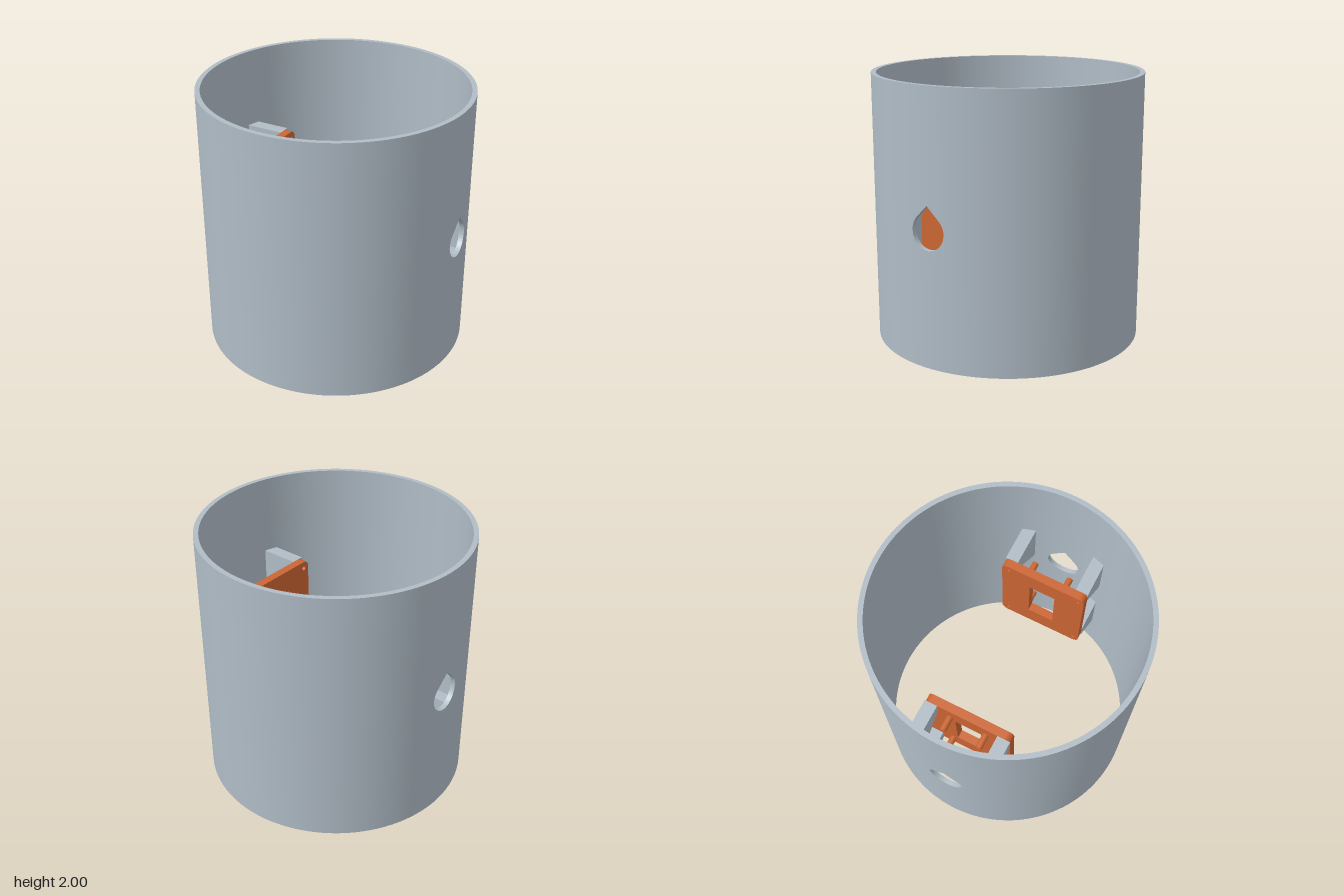
import * as THREE from 'three';

const R_OUT = 1, R_IN = 0.963, HEIGHT = 2;
const HOLE_R = 0.132, HOLE_Y = 1;
const PLATE_X = 0.565, PLATE_D = 0.065, BACK_X = PLATE_X + PLATE_D;

const steel = new THREE.MeshStandardMaterial({ name: 'greyBlue', color: 0xb0bcc6 });
const orange = new THREE.MeshStandardMaterial({ name: 'orange', color: 0xcc6633 });

function mesh(name, geometry, material) {
  const m = new THREE.Mesh(geometry, material);
  m.name = name;
  return m;
}

// Geometry from quads, each four corners counter-clockwise; optional radial normals
function quadGeometry(quads, radial = 0) {
  const pos = [];
  for (const [a, b, c, d] of quads) pos.push(...a, ...b, ...c, ...a, ...c, ...d);
  const g = new THREE.BufferGeometry();
  g.setAttribute('position', new THREE.Float32BufferAttribute(pos, 3));
  g.computeVertexNormals();
  if (radial) {
    const p = g.attributes.position, n = g.attributes.normal;
    for (let i = 0; i < p.count; i++) {
      const l = Math.hypot(p.getX(i), p.getZ(i)) * radial;
      n.setXYZ(i, p.getX(i) / l, 0, p.getZ(i) / l);
    }
  }
  return g;
}

// Teardrop: round below, 45 degree point above
const holeLow = z => HOLE_Y - Math.sqrt(Math.max(0, HOLE_R ** 2 - z * z));
const holeHigh = z => Math.abs(z) < HOLE_R * Math.SQRT1_2
  ? HOLE_Y + HOLE_R * Math.SQRT2 - Math.abs(z)
  : HOLE_Y + Math.sqrt(Math.max(0, HOLE_R ** 2 - z * z));

// Half of the tube (x > 0): vertical columns, split above and below the hole
function tubeHalf() {
  const side = 26, fine = 24, total = side * 2 + fine;
  const column = (i, r) => {
    const edge = Math.asin(HOLE_R / r);
    let a;
    if (i < side) a = -Math.PI / 2 + (Math.PI / 2 - edge) * i / side;
    else if (i > side + fine) a = edge + (Math.PI / 2 - edge) * (i - side - fine) / side;
    else a = Math.asin(-HOLE_R * Math.cos(Math.PI * (i - side) / fine) / r);
    const x = r * Math.cos(a), z = r * Math.sin(a);
    return { z, at: y => [x, y, z] };
  };
  const outer = [], inner = [], edges = [];
  for (let i = 0; i < total; i++) {
    const o0 = column(i, R_OUT), o1 = column(i + 1, R_OUT);
    const n0 = column(i, R_IN), n1 = column(i + 1, R_IN);
    const strip = (l0, l1, h0, h1) => {
      outer.push([o0.at(l0), o0.at(h0), o1.at(h1), o1.at(l1)]);
      inner.push([n0.at(l0), n1.at(l1), n1.at(h1), n0.at(h0)]);
    };
    // top and bottom rims
    edges.push([o0.at(HEIGHT), n0.at(HEIGHT), n1.at(HEIGHT), o1.at(HEIGHT)]);
    edges.push([o0.at(0), o1.at(0), n1.at(0), n0.at(0)]);
    if (i >= side && i < side + fine) {
      const l0 = holeLow(o0.z), l1 = holeLow(o1.z);
      const h0 = holeHigh(o0.z), h1 = holeHigh(o1.z);
      strip(0, 0, l0, l1);
      strip(h0, h1, HEIGHT, HEIGHT);
      // lining of the hole
      edges.push([o0.at(l0), n0.at(l0), n1.at(l1), o1.at(l1)]);
      edges.push([o0.at(h0), o1.at(h1), n1.at(h1), n0.at(h0)]);
    } else strip(0, 0, HEIGHT, HEIGHT);
  }
  const g = new THREE.Group();
  g.name = 'tubeHalf';
  g.add(mesh('outerWall', quadGeometry(outer, 1), steel),
    mesh('innerWall', quadGeometry(inner, -1), steel),
    mesh('rimsAndHoleLining', quadGeometry(edges), steel));
  return g;
}

// Rounded plate with a central window and four screw holes
function plate() {
  const w = 0.34, h = 0.39, r = 0.05;
  const s = new THREE.Shape();
  s.absarc(w - r, h - r, r, 0, Math.PI / 2);
  s.absarc(-w + r, h - r, r, Math.PI / 2, Math.PI);
  s.absarc(-w + r, -h + r, r, Math.PI, Math.PI * 1.5);
  s.absarc(w - r, -h + r, r, Math.PI * 1.5, Math.PI * 2);
  const a = 0.105, b = 0.21;
  s.holes.push(new THREE.Path([[-a, -b], [-a, b], [a, b], [a, -b]]
    .map(p => new THREE.Vector2(...p))));
  for (const u of [-1, 1]) for (const v of [-1, 1]) {
    s.holes.push(new THREE.Path().absarc(u * 0.29, v * 0.335, 0.018, 0, Math.PI * 2, true));
  }
  const g = new THREE.ExtrudeGeometry(s, { depth: PLATE_D, bevelEnabled: false, curveSegments: 10 });
  g.rotateY(Math.PI / 2).translate(PLATE_X, HOLE_Y, 0);
  return mesh('mountingPlate', g, orange);
}

// Arm from the wall to the plate: flat top, 45 degree underside
function arm(top, z) {
  const end = 0.935, drop = end - BACK_X;
  const s = new THREE.Shape([[BACK_X, top - 0.1], [end, top - 0.1 - drop], [end, top], [BACK_X, top]]
    .map(p => new THREE.Vector2(...p)));
  const g = new THREE.ExtrudeGeometry(s, { depth: 0.1, bevelEnabled: false });
  return mesh('supportArm', g.translate(0, 0, z - 0.05), steel);
}

function peg(y, z) {
  const len = 0.115;
  const g = new THREE.CylinderGeometry(0.025, 0.025, len, 24);
  g.rotateZ(Math.PI / 2).translate(BACK_X + len / 2, y, z);
  return mesh('peg', g, orange);
}

export function createModel() {
  const model = new THREE.Group();
  model.name = 'tubeWithMounts';
  // Two identical halves, turned about the vertical axis
  for (const [name, turn] of [['leftHalf', 0], ['rightHalf', Math.PI]]) {
    const half = new THREE.Group();
    half.name = name;
    half.add(tubeHalf(), plate());
    for (const s of [-1, 1]) {
      half.add(arm(1.39, s * 0.29), arm(0.71, s * 0.29));
      half.add(peg(HOLE_Y + 0.26, s * 0.145), peg(HOLE_Y - 0.26, s * 0.145));
    }
    half.rotation.y = turn;
    model.add(half);
  }
  return model;
}
